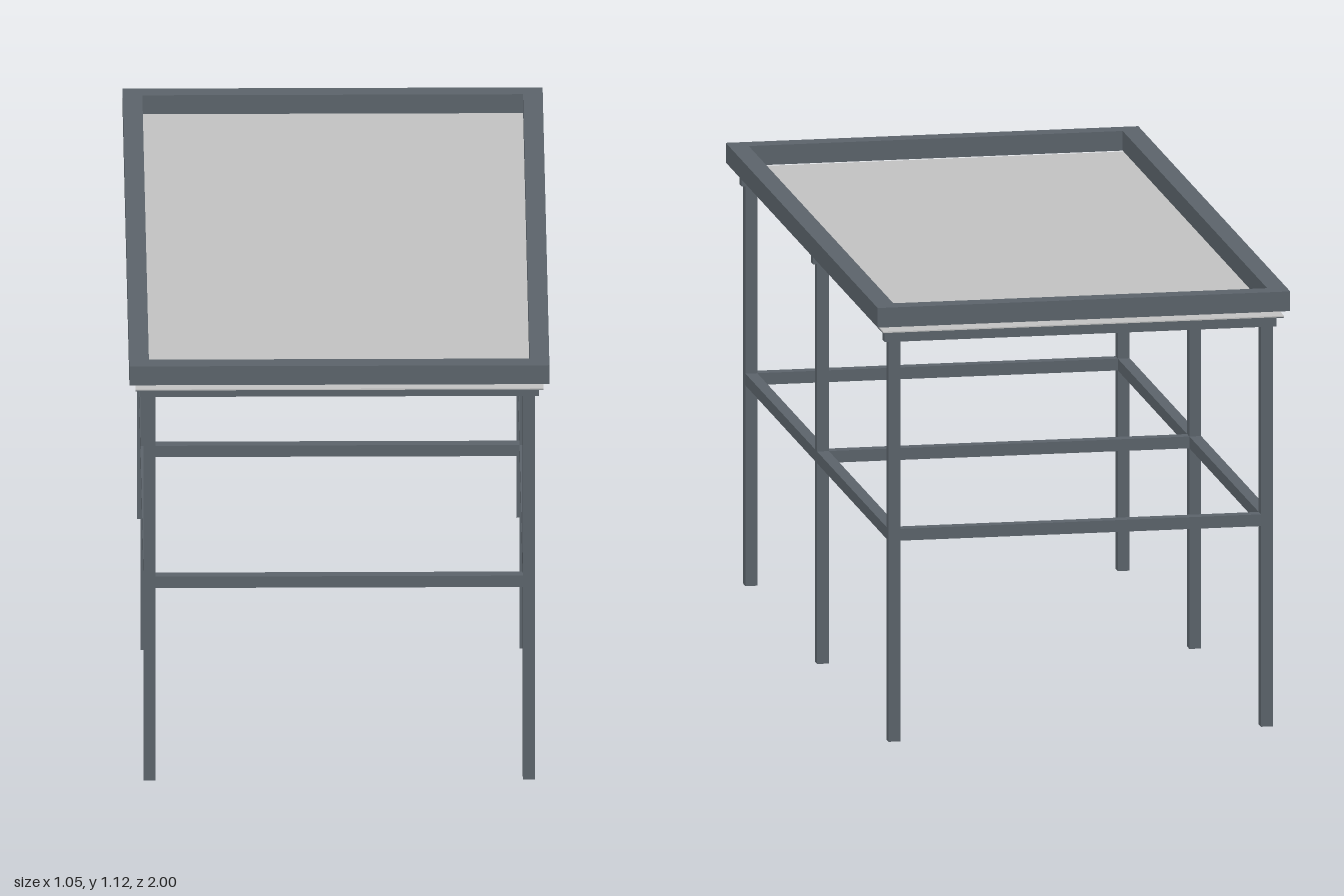
import * as THREE from 'three';

export function createModel() {
  const model = new THREE.Group();
  const steel = new THREE.MeshStandardMaterial({ color: 0x5c646b });
  steel.name = 'slate steel';
  const sheet = new THREE.MeshStandardMaterial({ color: 0xc4c4c4 });
  sheet.name = 'light grey sheet';

  const box = (name, w, h, d, x, y, z, material = steel) => {
    const mesh = new THREE.Mesh(new THREE.BoxGeometry(w, h, d), material);
    mesh.name = name;
    mesh.position.set(x, y, z);
    model.add(mesh);
  };

  // Flat rectangular ring lying in the xz plane, with its underside at y
  const ring = (name, halfW, halfD, border, height, y) => {
    const rect = (target, a, b) => target
      .moveTo(-a, -b).lineTo(a, -b).lineTo(a, b).lineTo(-a, b).closePath();
    const shape = rect(new THREE.Shape(), halfW, halfD);
    shape.holes.push(rect(new THREE.Path(), halfW - border, halfD - border));
    const geometry = new THREE.ExtrudeGeometry(shape, { depth: height, bevelEnabled: false });
    geometry.rotateX(-Math.PI / 2);
    const mesh = new THREE.Mesh(geometry, steel);
    mesh.name = name;
    mesh.position.y = y;
    model.add(mesh);
  };

  const tube = 0.03, legX = 0.472, legZ = 0.942, legHeight = 1.018, railY = 0.526;

  // Raised border, table sheet and the thin support rim beneath it
  ring('topFrame', 0.523, 1, 0.049, 0.05, 1.065);
  box('tableSheet', 1.016, 0.003, 1.994, 0, 1.0515, 0, sheet);
  ring('supportRim', 0.508, 0.997, 0.043, 0.002, 1.048);

  // Three trestles: two legs, a top beam and a cross rail each
  for (const z of [-legZ, 0, legZ]) {
    for (const x of [-legX, legX]) box('leg', tube, legHeight, tube, x, legHeight / 2, z);
    box('topBeam', 0.994, tube, tube, 0, legHeight + tube / 2, z);
    box('crossRail', 2 * legX - tube, tube, tube, 0, railY, z);
  }

  // Side rails joining neighbouring trestles
  for (const x of [-legX, legX]) {
    for (const s of [-1, 1]) box('sideRail', tube, tube, legZ - tube, x, railY, s * legZ / 2);
  }
  return model;
}
